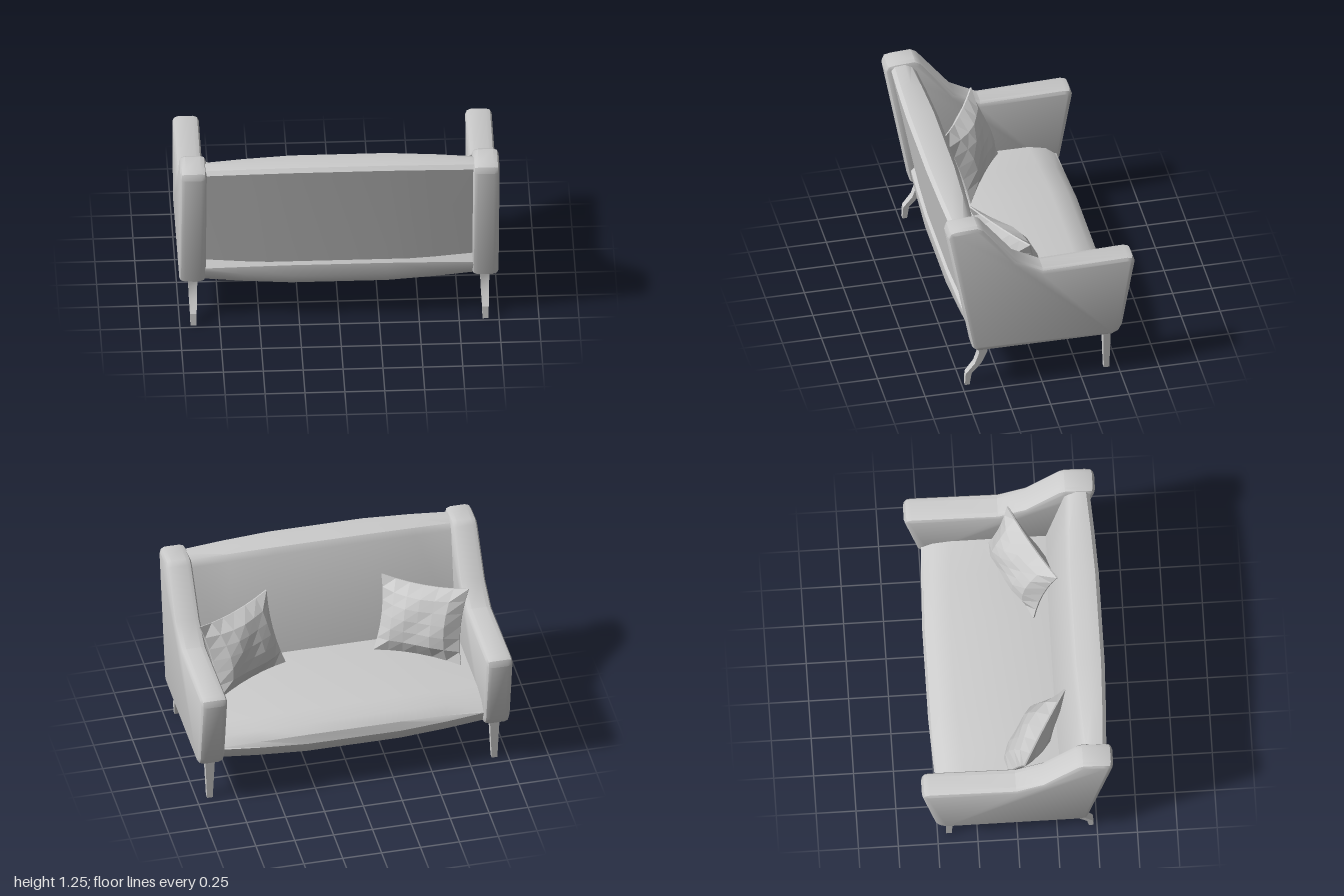
import * as THREE from 'three';
import { toCreasedNormals } from 'three/addons/utils/BufferGeometryUtils.js';

const material = new THREE.MeshStandardMaterial({ color: 0xcccccc });
const flatMaterial = new THREE.MeshStandardMaterial({ color: 0xcccccc, flatShading: true });

function addMesh(parent, name, geometry, mat = material) {
  const mesh = new THREE.Mesh(geometry, mat);
  mesh.name = name;
  parent.add(mesh);
  return mesh;
}

// Skins a list of equal-length rings of [x, y, z] and closes both ends.
function loft(rings, crease) {
  const n = rings[0].length;
  const positions = rings.flat(2);
  const index = [];
  for (let i = 0; i < rings.length - 1; i++) {
    for (let j = 0; j < n; j++) {
      const k = (j + 1) % n;
      const a = i * n + j, b = i * n + k;
      index.push(a, b, b + n, a, b + n, a + n);
    }
  }
  [0, rings.length - 1].forEach((r, end) => {
    const centre = positions.length / 3;
    for (let c = 0; c < 3; c++) {
      positions.push(rings[r].reduce((sum, p) => sum + p[c], 0) / n);
    }
    for (let j = 0; j < n; j++) {
      const a = r * n + j, b = r * n + (j + 1) % n;
      if (end) index.push(centre, a, b);
      else index.push(centre, b, a);
    }
  });
  const geometry = new THREE.BufferGeometry();
  geometry.setAttribute('position', new THREE.Float32BufferAttribute(positions, 3));
  geometry.setIndex(index);
  return toCreasedNormals(geometry, crease);
}

// Upholstered block: a [z, y] profile swept across x, slimmer at both ends.
function bowedBlock(profile, centreZ, centreY, inset) {
  const stations = [[-0.85, 1], [-0.6, 0.45], [-0.3, 0], [0.3, 0], [0.6, 0.45], [0.85, 1]];
  const rings = stations.map(([x, amount]) => profile.map(([z, y]) => [
    x,
    y - Math.sign(y - centreY) * inset * amount,
    z - Math.sign(z - centreZ) * inset * amount,
  ]));
  return loft(rings, 0.6);
}

// Side panel with sloping wing, rounded along its rim.
function armGeometry() {
  const outline = [
    [0.6, 1.18], [0.585, 1.22], [0.54, 1.23], [0.41, 1.238], [0.37, 1.215],
    [0.16, 0.945], [-0.01, 0.852], [-0.55, 0.87], [-0.585, 0.86], [-0.6, 0.82],
    [-0.52, 0.36], [-0.495, 0.31], [-0.45, 0.288], [0.41, 0.288], [0.44, 0.31],
  ];
  const shape = new THREE.Shape(outline.map(([z, y]) => new THREE.Vector2(-z, y)));
  const bevel = 0.035;
  const geometry = new THREE.ExtrudeGeometry(shape, {
    depth: 0.165 - 2 * bevel, bevelThickness: bevel, bevelSize: 0.026,
    bevelOffset: -0.026, bevelSegments: 2,
  });
  geometry.translate(0, 0, bevel - 0.0825);
  geometry.rotateY(Math.PI / 2);
  return toCreasedNormals(geometry, 0.6);
}

// Square-section leg: each station is [y, front z, back z, width].
function legGeometry(stations) {
  return loft(stations.map(([y, z0, z1, w]) => [
    [-w / 2, y, z1], [w / 2, y, z1], [w / 2, y, z0], [-w / 2, y, z0],
  ]), 0.5);
}

// Faceted cushion pinched to thin edges with pulled-out corners.
function pillowGeometry() {
  const geometry = new THREE.BoxGeometry(2, 2, 2, 6, 6, 1);
  const p = geometry.attributes.position;
  for (let i = 0; i < p.count; i++) {
    const u = p.getX(i), v = p.getY(i), side = p.getZ(i);
    const puff = Math.pow((1 - u * u) * (1 - v * v), 0.55);
    const wrinkle = 1 + 0.1 * Math.sin(5 * u + 3 * v + side);
    p.setXYZ(i,
      u * 0.285 * (0.9 + 0.1 * v * v),
      v * 0.25 * (0.9 + 0.1 * u * u),
      side * (0.005 + 0.1 * puff * wrinkle));
  }
  geometry.computeVertexNormals();
  return geometry;
}

export function createModel() {
  const sofa = new THREE.Group();
  sofa.name = 'sofa';

  // Seat with a rounded front roll and a rear roll below the backrest
  addMesh(sofa, 'seat', bowedBlock([
    [0.3, 0.5], [0.43, 0.475], [0.465, 0.43], [0.465, 0.35], [0.44, 0.29], [0.4, 0.255],
    [-0.44, 0.255], [-0.485, 0.29], [-0.52, 0.37], [-0.505, 0.43], [-0.45, 0.475], [-0.34, 0.5],
  ], 0, 0.38, 0.028));

  // Leaning backrest
  addMesh(sofa, 'backrest', bowedBlock([
    [0.5, 1.245], [0.565, 1.238], [0.588, 1.215], [0.448, 0.44],
    [0.265, 0.44], [0.38, 1.19], [0.41, 1.228],
  ], 0.43, 0.8, 0.024));

  const arm = armGeometry();
  const frontLeg = legGeometry([[0, -0.445, -0.41, 0.036], [0.3, -0.452, -0.403, 0.062]]);
  const backLeg = legGeometry([
    [0, 0.45, 0.48, 0.036], [0.085, 0.438, 0.475, 0.042], [0.16, 0.376, 0.418, 0.05],
    [0.24, 0.34, 0.391, 0.056], [0.3, 0.333, 0.396, 0.062],
  ]);
  const pillow = pillowGeometry();

  for (const [side, label] of [[1, 'left'], [-1, 'right']]) {
    addMesh(sofa, label + 'Arm', arm).position.x = side * 0.9175;
    addMesh(sofa, label + 'FrontLeg', frontLeg).position.x = side * 0.915;
    addMesh(sofa, label + 'BackLeg', backLeg).position.x = side * 0.915;

    // Throw pillow turned inwards and leaning back
    const cushion = addMesh(sofa, label + 'Pillow', pillow, flatMaterial);
    cushion.position.set(side * 0.575, 0.73, 0.115);
    cushion.rotation.set(0.36, side * 0.52, 0, 'YXZ');
  }
  return sofa;
}
